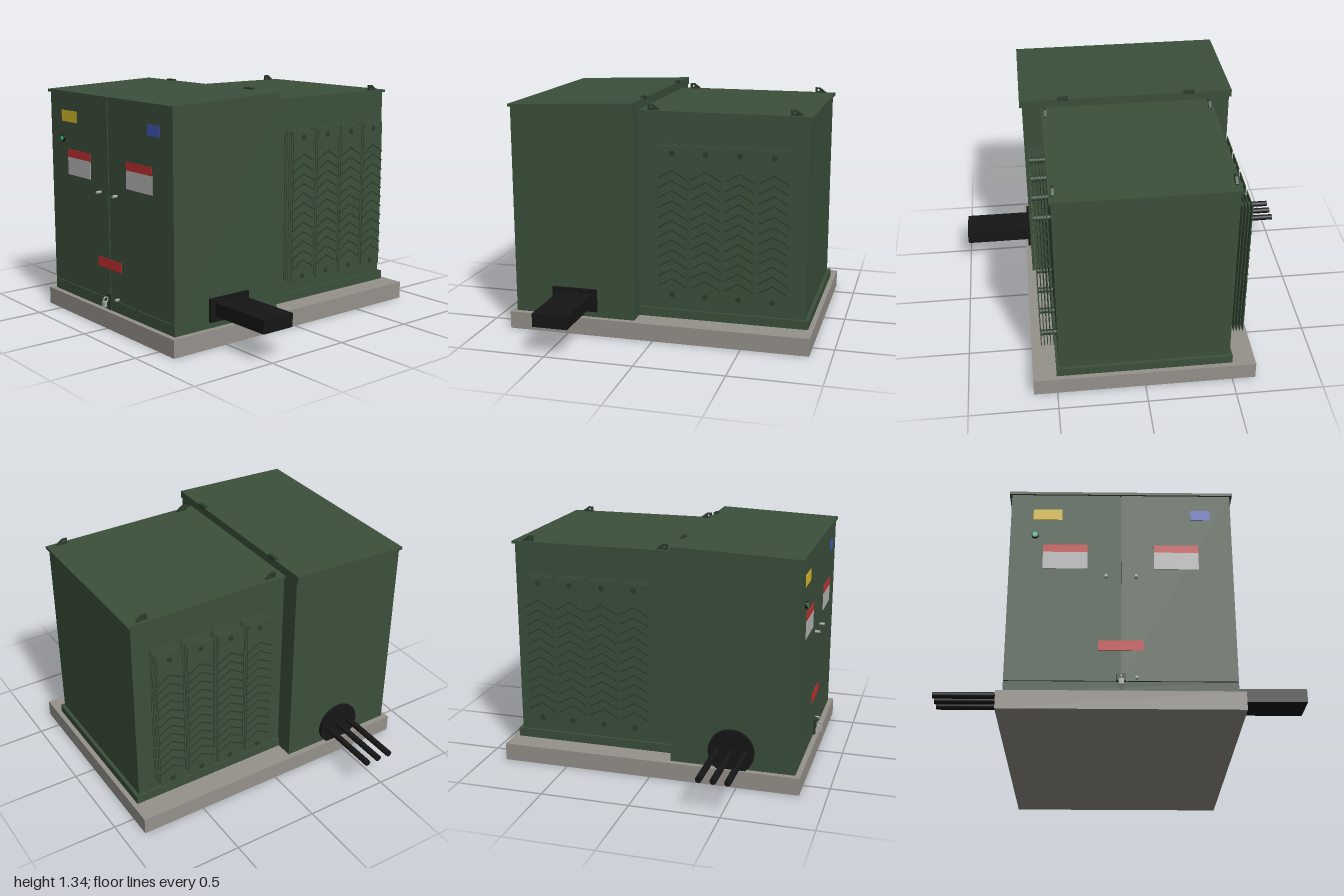
import * as THREE from 'three';

const mat = (color) => new THREE.MeshStandardMaterial({ color });
const M = {
  green: mat(0x3b503b), dark: mat(0x2c3c2c), concrete: mat(0x96928c), black: mat(0x161616),
  red: mat(0xc43030), white: mat(0xb8b8b8), yellow: mat(0xd8bc28), blue: mat(0x4058b8),
  metal: mat(0xaaaaaa), lamp: mat(0x40d080),
};

export function createModel() {
  const root = new THREE.Group();

  const add = (name, geo, material, parent = root) => {
    const mesh = new THREE.Mesh(geo, material);
    mesh.name = name;
    parent.add(mesh);
    return mesh;
  };
  // Box given by its limits on each axis
  const box = (name, material, [x0, x1], [y0, y1], [z0, z1], parent) => {
    const mesh = add(name, new THREE.BoxGeometry(x1 - x0, y1 - y0, z1 - z0), material, parent);
    mesh.position.set((x0 + x1) / 2, (y0 + y1) / 2, (z0 + z1) / 2);
    return mesh;
  };
  // Cylinder along x or z
  const rod = (name, material, axis, r, len, x, y, z, parent, sides = 16) => {
    const geo = new THREE.CylinderGeometry(r, r, len, sides);
    if (axis === 'x') geo.rotateZ(Math.PI / 2);
    else geo.rotateX(Math.PI / 2);
    const mesh = add(name, geo, material, parent);
    mesh.position.set(x, y, z);
    return mesh;
  };
  // Side profile of [z, y] points, extruded across x about its middle
  const profile = (points, width, hole) => {
    const shape = new THREE.Shape(points.map(([z, y]) => new THREE.Vector2(z, y)));
    if (hole) shape.holes.push(new THREE.Path().absarc(hole[0], hole[1], hole[2], 0, Math.PI * 2, true));
    return new THREE.ExtrudeGeometry(shape, { depth: width, bevelEnabled: false, curveSegments: 6 })
      .translate(0, 0, -width / 2).rotateY(-Math.PI / 2);
  };

  box('pad', M.concrete, [-0.633, 0.633], [0, 0.1], [-0.878, 0.85]);

  // Rear tank
  box('tank', M.green, [-0.485, 0.485], [0.1, 1.265], [-0.83, 0.13]);
  box('tankSkirt', M.green, [-0.5, 0.5], [0.1, 0.15], [-0.85, 0.13]);
  box('tankLid', M.green, [-0.495, 0.495], [1.262, 1.277], [-0.845, 0.12]);
  for (const x of [-0.47, 0.47]) for (const z of [0.03, -0.757]) {
    const lug = add('liftingLug', profile(
      [[-0.028, 0], [0.033, 0], [0.033, 0.032], [0.005, 0.032], [-0.028, 0.008]], 0.014, [0.014, 0.016, 0.007]), M.dark);
    lug.position.set(x, 1.276, z);
  }

  // Front cabinet with two doors
  box('cabinet', M.green, [-0.6, 0.6], [0.1, 1.29], [0.115, 0.811]);
  box('doorSill', M.green, [-0.6, 0.6], [0.1, 0.162], [0.8, 0.82]);
  for (const s of [-1, 1]) {
    const door = box('door', M.green, [-0.298, 0.298], [0.166, 1.286], [0.8, 0.82]);
    door.position.x = s * 0.302;
    rod('doorBolt', M.metal, 'z', 0.008, 0.035, s * 0.08, 0.765, 0.832);
    box('roofHinge', M.dark, [s * 0.365 - 0.031, s * 0.365 + 0.031], [1.318, 1.336], [0.11, 0.132]);
  }
  add('cabinetRoof', profile([[0.112, 1.285], [0.83, 1.285], [0.83, 1.301], [0.112, 1.328]], 1.228), M.green);

  // Radiators: stacked plates on two header pipes, with chevron ribs outside
  const ribLength = Math.hypot(0.08, 0.045);
  const ribGeo = new THREE.BoxGeometry(0.006, 0.007, ribLength);
  const plateGeo = new THREE.BoxGeometry(0.005, 0.865, 0.152);
  for (const s of [-1, 1]) for (let i = 0; i < 4; i++) {
    const radiator = new THREE.Group();
    radiator.name = 'radiator';
    radiator.position.z = -0.1 - i * 0.1867;
    root.add(radiator);
    for (let k = 0; k < 5; k++) {
      add('radiatorPlate', plateGeo, M.green, radiator).position.set(s * (0.504 + k * 0.0175), 0.667, 0);
    }
    for (const y of [0.265, 1.063]) rod('headerPipe', M.dark, 'x', 0.016, 0.1, s * 0.529, y, 0, radiator);
    for (let r = 0; r < 12; r++) for (const side of [-1, 1]) {
      const rib = add('chevronRib', ribGeo, M.dark, radiator);
      rib.position.set(s * 0.576, 0.945 - r * 0.0555, side * 0.04);
      rib.rotation.x = side * Math.atan2(0.045, 0.08);
    }
  }

  // Blank labels on the doors
  const label = (name, material, xs, ys) => box(name, material, xs, ys, [0.818, 0.823]);
  label('yellowPlate', M.yellow, [-0.478, -0.32], [1.125, 1.19]);
  label('bluePlate', M.blue, [0.38, 0.487], [1.13, 1.19]);
  label('redPlate', M.red, [-0.12, 0.116], [0.338, 0.394]);
  for (const x of [-0.3, 0.297]) {
    label('warningPanel', M.white, [x - 0.12, x + 0.12], [0.82, 0.922]);
    label('warningBand', M.red, [x - 0.12, x + 0.12], [0.922, 0.968]);
  }

  // Indicator lamp
  rod('lampBezel', M.black, 'z', 0.021, 0.015, -0.465, 1.027, 0.825);
  rod('lampLens', M.lamp, 'z', 0.014, 0.016, -0.465, 1.027, 0.827);

  // Hasp and padlock at the foot of the doors
  box('hasp', M.dark, [-0.025, 0.025], [0.16, 0.202], [0.815, 0.838]);
  box('haspFoot', M.dark, [-0.012, 0.012], [0.105, 0.17], [0.815, 0.832]);
  const shackle = add('shackle', new THREE.TorusGeometry(0.014, 0.004, 8, 20), M.metal);
  shackle.position.set(0, 0.17, 0.855);
  shackle.rotation.y = Math.PI / 2;
  box('padlock', M.metal, [-0.013, 0.013], [0.13, 0.16], [0.857, 0.873]);
  rod('sillBolt', M.metal, 'z', 0.008, 0.03, 0.08, 0.18, 0.828);

  // Bus duct on the left flank
  box('ductFlange', M.black, [0.595, 0.617], [0.135, 0.265], [0.332, 0.595]);
  box('busDuct', M.black, [0.61, 1], [0.165, 0.24], [0.362, 0.56]);

  // Cables leaving the right flank
  rod('cableGlandPlate', M.black, 'x', 0.13, 0.025, -0.608, 0.2, 0.463, root, 32);
  for (const z of [0.383, 0.461, 0.539]) rod('cable', M.black, 'x', 0.018, 0.4, -0.8, 0.2, z);

  return root;
}
